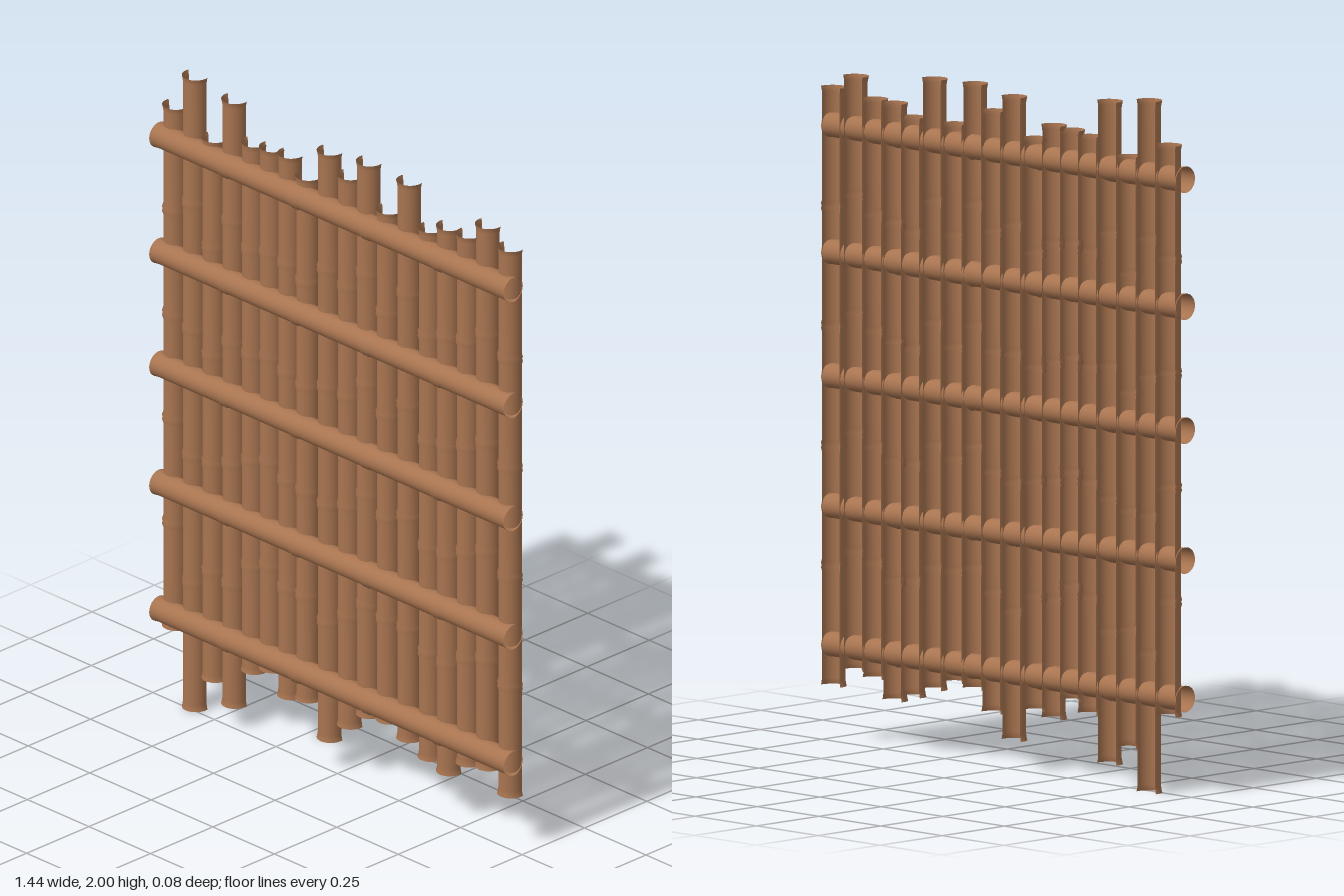
import * as THREE from 'three';

const SEGMENTS = 5;

// Cane profile: five equal lengths with a small ring at each joint and flared ends
function caneProfile(length, radius, ring) {
  const pts = [
    [radius + ring, 0], [radius + ring * 0.6, 0.006], [radius, 0.018],
  ];
  for (let i = 1; i < SEGMENTS; i++) {
    const y = (length * i) / SEGMENTS;
    pts.push(
      [radius, y - 0.018], [radius + ring, y - 0.007], [radius + ring * 0.3, y],
      [radius + ring, y + 0.007], [radius, y + 0.018],
    );
  }
  pts.push(
    [radius, length - 0.018], [radius + ring * 0.6, length - 0.006], [radius + ring, length],
  );
  return pts.map(([r, y]) => new THREE.Vector2(r, y));
}

export function createModel() {
  const model = new THREE.Group();
  model.name = 'caneFence';
  const cane = new THREE.MeshStandardMaterial({ color: 0xa87450, side: THREE.DoubleSide });
  cane.name = 'brown cane';

  // Upright split canes, open to the back: [x, bottom, top]
  const uprights = [
    [-0.68, 0.23, 1.88], [-0.6, 0, 2], [-0.52, 0.12, 1.83], [-0.44, 0.065, 1.98],
    [-0.36, 0.2, 1.87], [-0.287, 0.23, 1.88], [-0.213, 0.17, 1.885], [-0.14, 0.185, 1.84],
    [-0.052, 0.09, 1.95], [0.03, 0.16, 1.9], [0.107, 0.22, 1.97], [0.187, 0.23, 1.845],
    [0.271, 0.2, 1.965], [0.358, 0.17, 1.845], [0.432, 0.15, 1.877], [0.512, 0.205, 1.88],
    [0.591, 0.22, 1.937], [0.681, 0.165, 1.895],
  ];
  const arc = THREE.MathUtils.degToRad(205);
  const uprightGroup = new THREE.Group();
  uprightGroup.name = 'uprightCanes';
  uprights.forEach(([x, bottom, top], i) => {
    const profile = caneProfile(top - bottom, 0.0365, 0.0035);
    const mesh = new THREE.Mesh(new THREE.LatheGeometry(profile, 16, -arc / 2, arc), cane);
    mesh.name = `uprightCane${i + 1}`;
    mesh.position.set(x, bottom, -0.024);
    uprightGroup.add(mesh);
  });
  model.add(uprightGroup);

  // Hollow cross rails along the front
  const railGroup = new THREE.Group();
  railGroup.name = 'crossRails';
  const railGeometry = new THREE.LatheGeometry(caneProfile(1.44, 0.036, 0.0025), 24);
  railGeometry.translate(0, -0.72, 0);
  railGeometry.rotateZ(-Math.PI / 2);
  [0.28, 0.68, 1.055, 1.413, 1.78].forEach((y, i) => {
    const rail = new THREE.Mesh(railGeometry, cane);
    rail.name = `crossRail${i + 1}`;
    rail.position.set(0, y, 0.006);
    railGroup.add(rail);
  });
  model.add(railGroup);

  return model;
}
